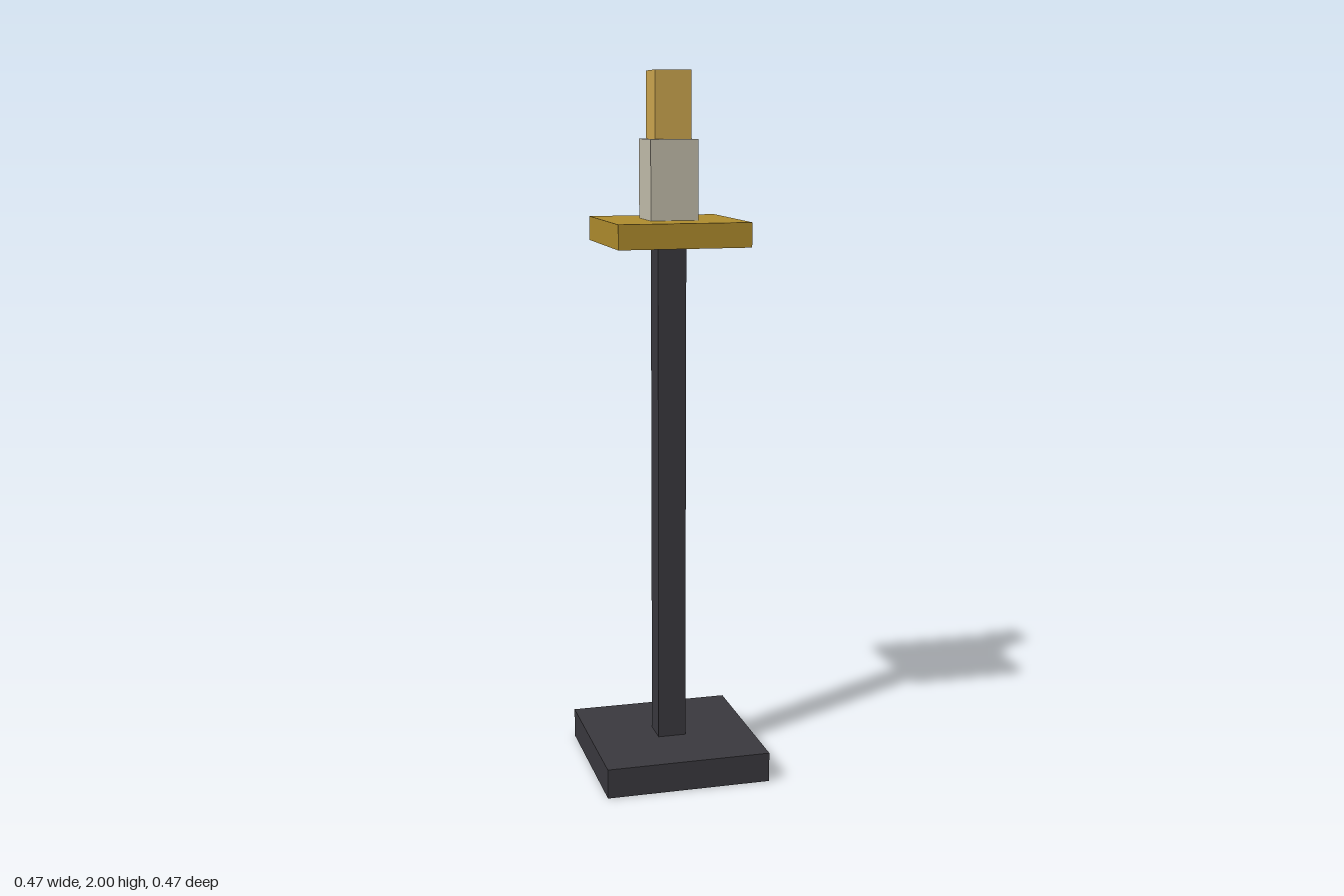
import * as THREE from 'three';

export function createModel() {
  const group = new THREE.Group();
  group.name = 'candlestick';

  const material = (color) => new THREE.MeshStandardMaterial({ color });
  const iron = material(0x3a393e);
  const brass = material(0xb08d2e);
  const wax = material(0xc4beac);
  const glow = material(0xcea850);

  // Square block of the given width, spanning bottom to top
  function block(name, width, bottom, top, mat) {
    const mesh = new THREE.Mesh(new THREE.BoxGeometry(width, top - bottom, width), mat);
    mesh.name = name;
    mesh.position.y = (bottom + top) / 2;
    group.add(mesh);
  }

  // Stand
  block('base', 0.474, 0, 0.085, iron);
  block('post', 0.081, 0.085, 1.527, iron);

  // Drip tray, candle and flame
  block('dripTray', 0.372, 1.527, 1.595, brass);
  block('candle', 0.135, 1.595, 1.815, wax);
  block('flame', 0.102, 1.815, 2, glow);

  return group;
}
